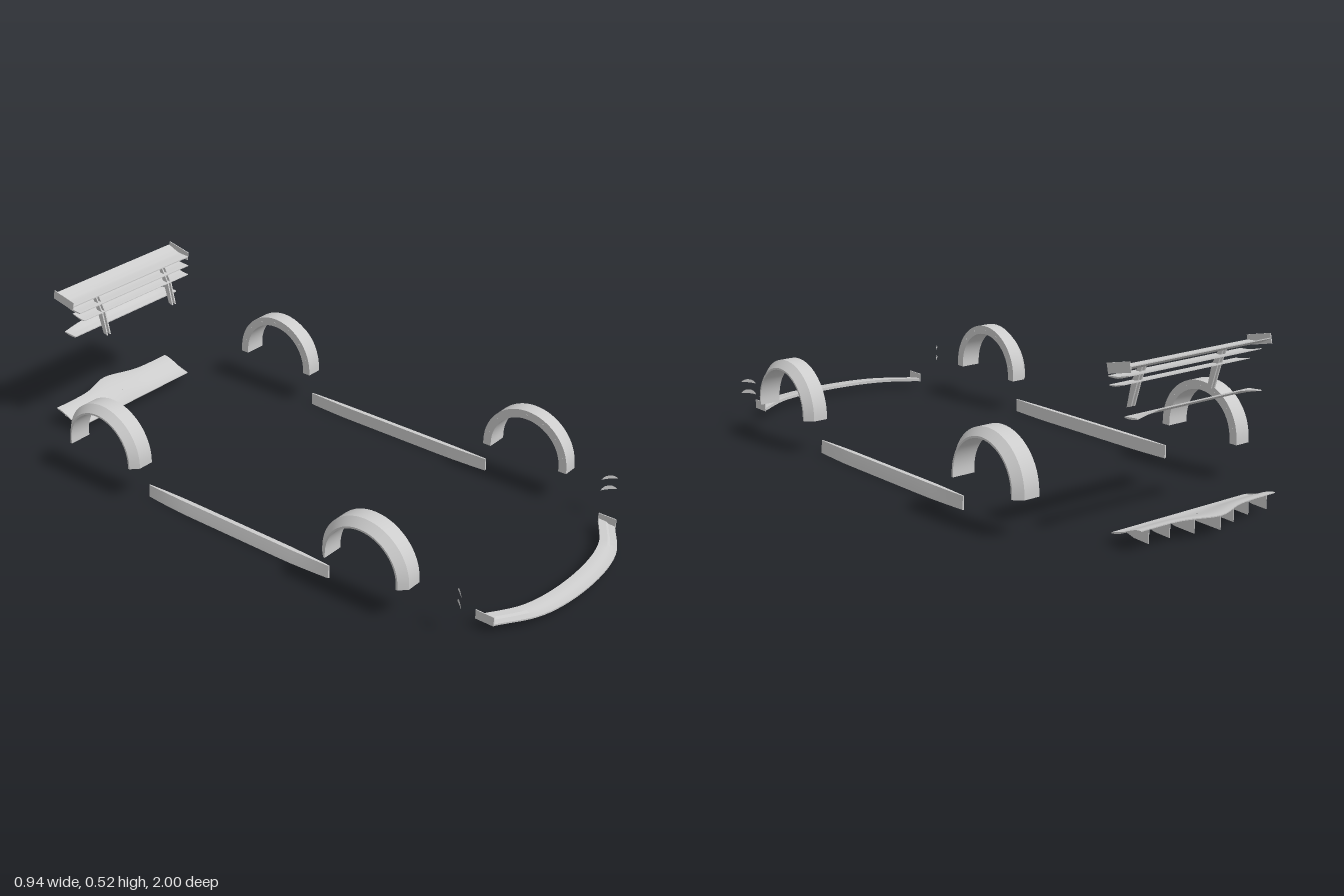
import * as THREE from 'three';
import { toCreasedNormals } from 'three/addons/utils/BufferGeometryUtils.js';

const grey = new THREE.MeshStandardMaterial({ color: 0xcccccc });
grey.name = 'primer grey';
grey.side = THREE.DoubleSide;

// Joins a row of closed [x, y, z] cross-sections into a capped solid
function loft(rings, crease = 0.5) {
  const tris = [];
  const n = rings[0].length;
  for (let i = 0; i < rings.length - 1; i++) {
    for (let j = 0; j < n; j++) {
      const k = (j + 1) % n;
      const [a, b, c, d] = [rings[i][j], rings[i][k], rings[i + 1][k], rings[i + 1][j]];
      tris.push([a, b, c], [a, c, d]);
    }
  }
  const cap = (ring, flip) => {
    const mid = [0, 1, 2].map((t) => ring.reduce((s, p) => s + p[t], 0) / n);
    ring.forEach((p, j) => {
      const q = ring[(j + 1) % n];
      tris.push(flip ? [mid, q, p] : [mid, p, q]);
    });
  };
  cap(rings[0], true);
  cap(rings[rings.length - 1], false);
  // Turn the faces outward whichever way the sections were listed
  const v = (p) => new THREE.Vector3(...p);
  const volume = tris.reduce((s, t) => s + v(t[0]).dot(v(t[1]).cross(v(t[2]))), 0);
  if (volume < 0) tris.forEach((t) => t.reverse());
  const geo = new THREE.BufferGeometry();
  geo.setAttribute('position', new THREE.Float32BufferAttribute(tris.flat(2), 3));
  return toCreasedNormals(geo, crease);
}

function add(parent, name, geo) {
  const mesh = new THREE.Mesh(geo, grey);
  mesh.name = name;
  parent.add(mesh);
  return mesh;
}

function box(parent, name, size, pos) {
  const mesh = add(parent, name, new THREE.BoxGeometry(...size));
  mesh.position.set(...pos);
  return mesh;
}

const range = (n, f) => Array.from({ length: n + 1 }, (_, i) => f(i / n));

// Wheel arch flare: chamfered section swept over a half circle with short legs
function fender(parent, name, side, cz, cy, bottom, inner, outer) {
  const R = 0.157;
  const profile = [[inner, R - 0.029], [inner, R], [outer - 0.024, R],
    [outer, R - 0.023], [outer, R - 0.029]];
  const ring = (angle, y0) => profile.map(([x, r]) =>
    [side * x, y0 + Math.sin(angle) * r, cz + Math.cos(angle) * r]);
  const rings = [ring(0, bottom), ...range(32, (t) => ring(t * Math.PI, cy)), ring(Math.PI, bottom)];
  const group = new THREE.Group();
  group.name = name;
  add(group, 'archShell', loft(rings));
  // Small bolts on the mounting face
  for (let i = 0; i < 7; i++) {
    const a = Math.PI * (0.08 + 0.14 * i);
    const bolt = add(group, 'bolt', new THREE.CylinderGeometry(0.003, 0.003, 0.002, 8));
    bolt.rotation.z = Math.PI / 2;
    bolt.position.set(side * inner, cy + Math.sin(a) * 0.142, cz + Math.cos(a) * 0.142);
  }
  parent.add(group);
}

// Side skirt, slanted outside and drawn in at both ends
function skirt(parent, side) {
  const rings = range(16, (t) => {
    const z = -0.375 + 0.735 * t;
    const w = Math.min(1, 3 * Math.sin(Math.PI * t) ** 0.8 * 0.5);
    return [[0.405 - 0.008 * w, 0], [0.412 + 0.01 * w, 0.002], [0.411 + 0.009 * w, 0.014],
      [0.409 + 0.004 * w, 0.043], [0.405 - 0.007 * w, 0.043]].map(([x, y]) => [side * x, y, z]);
  });
  add(parent, 'sideSkirt', loft(rings));
}

// Curved thin blade from a centre line of [z, y] points, spanning the width
function blade(parent, name, points, halfWidth, thick, taper = () => 0, steps = 1) {
  const curve = new THREE.SplineCurve(points.map((p) => new THREE.Vector2(...p))).getPoints(10);
  const rings = range(steps, (t) => {
    const x = halfWidth * (2 * t - 1);
    const drop = taper(x);
    const sec = (s) => curve.map((p, i) => {
      const h = thick * (0.25 + 0.75 * Math.sin(Math.PI * (0.15 + 0.75 * i / 10)));
      return [x, p.y * (1 - drop) + curve[0].y * drop + s * h / 2, p.x];
    });
    return [...sec(1), ...sec(-1).reverse()];
  });
  return add(parent, name, loft(rings));
}

function rearWing() {
  const wing = new THREE.Group();
  wing.name = 'rearWing';
  blade(wing, 'upperBlade', [[-0.825, 0.485], [-0.87, 0.488], [-0.915, 0.507]], 0.272, 0.006);
  blade(wing, 'middleBlade', [[-0.812, 0.46], [-0.85, 0.462], [-0.892, 0.474]], 0.257, 0.005);
  blade(wing, 'lowerBlade', [[-0.805, 0.432], [-0.83, 0.434], [-0.86, 0.442]], 0.247, 0.004);
  // Separate tail blade whose rear edge falls away at the ends
  blade(wing, 'tailBlade', [[-0.862, 0.354], [-0.885, 0.358], [-0.912, 0.372]], 0.242, 0.006,
    (x) => 0.75 * Math.max(0, (Math.abs(x) - 0.17) / 0.072), 12);
  for (const s of [-1, 1]) {
    box(wing, 'bladeEnd', [0.003, 0.03, 0.09], [s * 0.272, 0.496, -0.87]).rotation.x = 0.22;
    // Twin slanted stays
    for (const x of [0.15, 0.163]) {
      const foot = [[-0.79, 0.353], [-0.806, 0.358], [-0.828, 0.43], [-0.85, 0.487],
        [-0.835, 0.487], [-0.807, 0.43]];
      add(wing, 'wingStay', loft([-0.0025, 0.0025].map((d) => foot.map(([z, y]) => [s * x + d, y, z]))));
    }
  }
  return wing;
}

function diffuser() {
  const group = new THREE.Group();
  group.name = 'rearDiffuser';
  const back = (x) => -0.958 - 0.042 * Math.exp(-((x / 0.085) ** 2));
  const height = (t) => 0.029 + 0.034 * t * t * (3 - 2 * t);
  const rings = range(28, (u) => {
    const x = 0.265 * (2 * u - 1);
    const sec = (s) => range(8, (t) => [x, height(t) + s * 0.0015, -0.845 + (back(x) + 0.845) * t]);
    return [...sec(1), ...sec(-1).reverse()];
  });
  add(group, 'diffuserPanel', loft(rings));
  // Seven upright fins beneath the panel
  for (let i = -3; i <= 3; i++) {
    const x = i * 0.0775;
    const b = back(x) + 0.002;
    const fin = [[-0.87, 0.03], [-0.9, 0.022], [b, 0.02], [b, 0.061], [-0.91, 0.044]];
    add(group, 'diffuserFin', loft([-0.001, 0.001].map((d) => fin.map(([z, y]) => [x + d, y, z]))));
  }
  return group;
}

function splitter() {
  const group = new THREE.Group();
  group.name = 'frontSplitter';
  const line = (pts) => new THREE.CatmullRomCurve3(pts.map(([x, z]) => new THREE.Vector3(x, 0, z)));
  const rear = line([[-0.332, 0.83], [-0.2, 0.908], [0, 0.935], [0.2, 0.908], [0.332, 0.83]]);
  const front = line([[-0.332, 0.89], [-0.2, 0.97], [0, 0.998], [0.2, 0.97], [0.332, 0.89]]);
  // Raised inner shelf stepping down to a thin lip
  const profile = [[0, 0.038], [0.45, 0.037], [0.6, 0.032], [1, 0.031], [1, 0.026], [0, 0.028]];
  const rings = range(28, (t) => {
    const a = rear.getPoint(t);
    const b = front.getPoint(t);
    return profile.map(([k, y]) => [a.x + (b.x - a.x) * k, y, a.z + (b.z - a.z) * k]);
  });
  add(group, 'splitterLip', loft(rings));
  for (const s of [-1, 1]) box(group, 'splitterEndPlate', [0.003, 0.03, 0.062], [s * 0.332, 0.041, 0.861]);
  return group;
}

// Thin upright crescent blades beside the front corners
function canards(parent, side) {
  const crescent = (y, h) => {
    const shape = new THREE.Shape();
    shape.moveTo(-0.026, y);
    shape.quadraticCurveTo(-0.012, y + h * 1.6, 0.012, y + h);
    shape.quadraticCurveTo(0.022, y + h * 0.6, 0.026, y - 0.003);
    shape.quadraticCurveTo(0, y + 0.003, -0.026, y);
    return new THREE.ShapeGeometry(shape);
  };
  for (const [y, h] of [[0.142, 0.01], [0.104, 0.012]]) {
    const mesh = add(parent, 'canard', crescent(y, h));
    mesh.rotation.y = side > 0 ? Math.PI * 0.74 : Math.PI * 0.26;
    mesh.position.set(side * 0.402, 0, 0.82);
  }
}

export function createModel() {
  const model = new THREE.Group();
  model.name = 'carBodyKit';
  for (const side of [-1, 1]) {
    fender(model, 'frontFenderFlare', side, 0.516, 0.124, 0.11, 0.388, 0.461);
    fender(model, 'rearFenderFlare', side, -0.533, 0.132, 0.118, 0.391, 0.468);
    skirt(model, side);
    canards(model, side);
  }
  model.add(rearWing(), diffuser(), splitter());
  return model;
}
